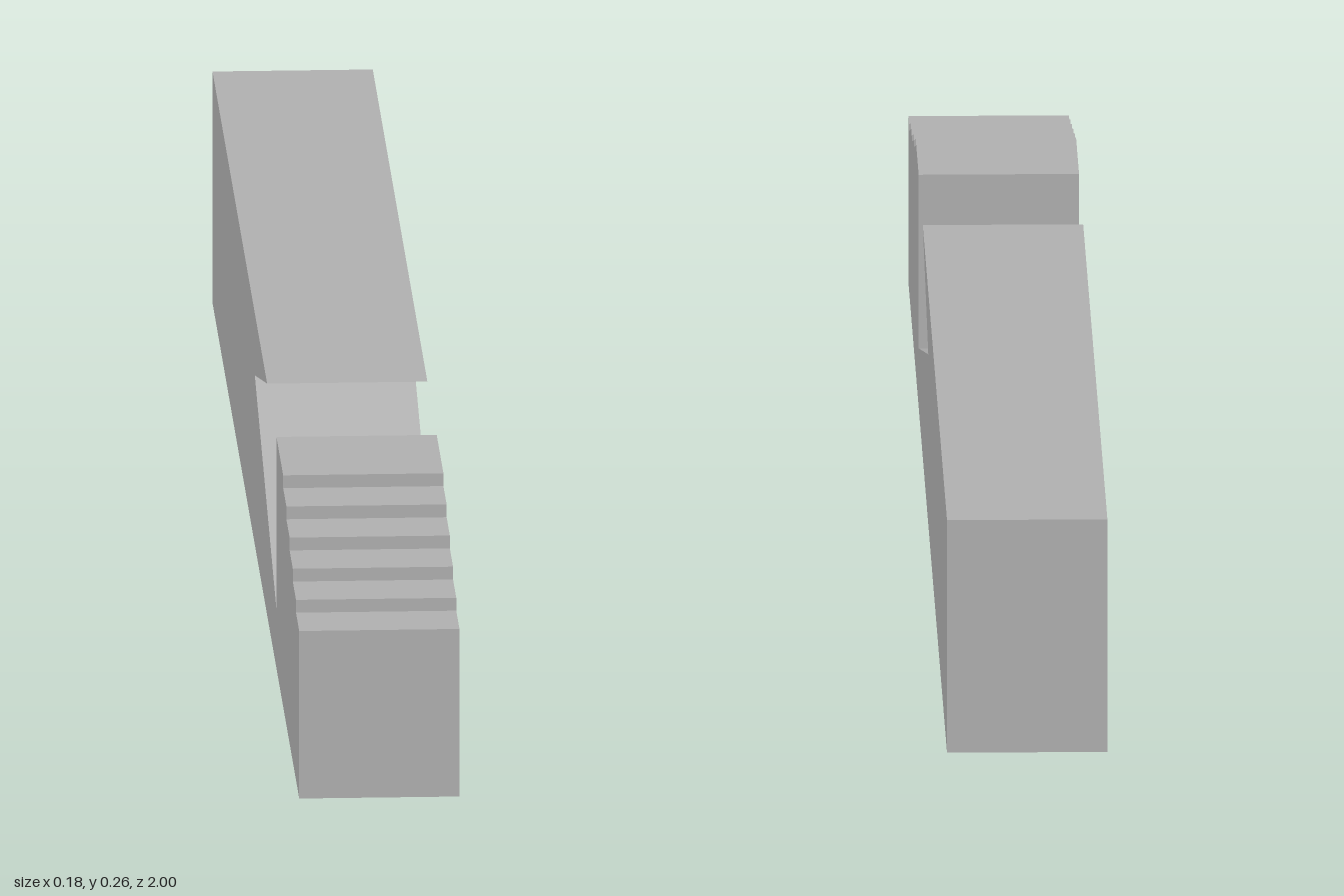
import * as THREE from 'three';

export function createModel() {
  const group = new THREE.Group();
  const grey = new THREE.MeshStandardMaterial({ color: 0xb2b2b2 });
  grey.name = 'plain grey';

  const width = 0.176, top = 0.264, noseHeight = 0.191;
  const steps = 5, tread = 0.074;

  // Side profile as (z, y): bar with a slanted undercut notch
  const profile = [
    [-1, 0], [1, 0], [1, noseHeight],
  ];
  // Small steps climbing back from the nose
  const rise = (top - noseHeight) / steps;
  for (let i = 1; i <= steps; i++) {
    const z = 1 - i * tread;
    profile.push([z, noseHeight + (i - 1) * rise], [z, noseHeight + i * rise]);
  }
  // Upright wall, sloping floor, pointed overhang, then the long flat top
  profile.push([0.475, top], [0.475, 0.067], [-0.025, 0.193], [0.26, top], [-1, top]);

  const shape = new THREE.Shape(profile.map(([z, y]) => new THREE.Vector2(z, y)));
  const geometry = new THREE.ExtrudeGeometry(shape, { depth: width, bevelEnabled: false });
  geometry.translate(0, 0, -width / 2);
  geometry.rotateY(-Math.PI / 2);

  const bar = new THREE.Mesh(geometry, grey);
  bar.name = 'notchedSteppedBar';
  group.add(bar);
  return group;
}
